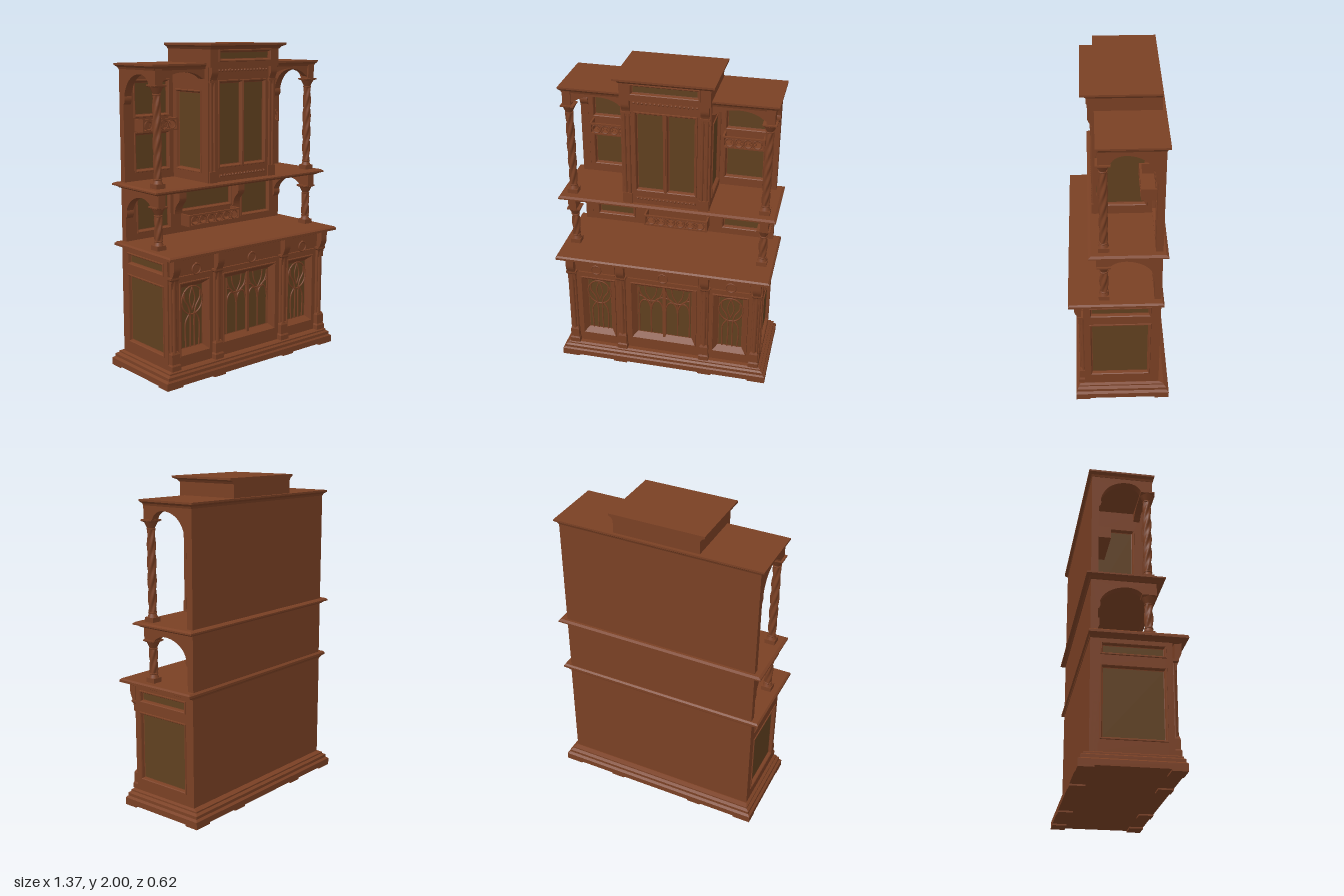
import * as THREE from 'three';

const wood = new THREE.MeshStandardMaterial({ color: 0x7a4024 });
const inlay = new THREE.MeshStandardMaterial({ color: 0x60401f });

function add(parent, name, geo, x = 0, y = 0, z = 0, mat = wood) {
  const m = new THREE.Mesh(geo, mat);
  m.name = name;
  m.position.set(x, y, z);
  parent.add(m);
  return m;
}

// Box given by its limits
function box(parent, name, x0, x1, y0, y1, z0, z1, mat = wood) {
  return add(parent, name, new THREE.BoxGeometry(x1 - x0, y1 - y0, z1 - z0),
    (x0 + x1) / 2, (y0 + y1) / 2, (z0 + z1) / 2, mat);
}

// Rectangular loops [halfX, zFront, zBack, y] joined into a moulded slab
function loft(sections, capped = true) {
  const pos = [];
  const loops = sections.map(([h, f, b, y]) => [[-h, y, f], [h, y, f], [h, y, b], [-h, y, b]]);
  const quad = (a, b, c, d) => pos.push(...a, ...b, ...c, ...a, ...c, ...d);
  for (let k = 0; k < loops.length - 1; k++)
    for (let i = 0; i < 4; i++) {
      const j = (i + 1) % 4;
      quad(loops[k][i], loops[k][j], loops[k + 1][j], loops[k + 1][i]);
    }
  if (capped) {
    quad(...loops[loops.length - 1]);
    quad(...loops[0].slice().reverse());
  }
  const g = new THREE.BufferGeometry();
  g.setAttribute('position', new THREE.Float32BufferAttribute(pos, 3));
  g.computeVertexNormals();
  return g;
}

const rectPoints = ([cx, cy, w, h]) => [[-1, -1], [1, -1], [1, 1], [-1, 1]]
  .map(([a, b]) => new THREE.Vector2(cx + a * w / 2, cy + b * h / 2));

// Board facing +z with moulded, sunken panels; rectangles are [cx, cy, w, h]
function panelled(parent, name, rect, z, holes, depth = 0.02, bevel = 0.014) {
  const g = new THREE.Group();
  g.name = name;
  parent.add(g);
  const shape = new THREE.Shape(rectPoints(rect));
  shape.holes = holes.map(h => new THREE.Path(rectPoints(h).reverse()));
  add(g, 'frame', new THREE.ExtrudeGeometry(shape, { depth, bevelEnabled: false }), 0, 0, z - depth);
  for (const [cx, cy, w, h] of holes) {
    const ring = (o, y) => [w / 2 + o, h / 2 + o, -h / 2 - o, y];
    add(g, 'panelMoulding', loft([ring(0.009, 0), ring(0.007, 0.006), ring(0.001, 0.006), ring(-0.003, 0.001),
      ring(-bevel + 0.004, 0.004 - depth), ring(-bevel, 0.003 - depth)], false).rotateX(Math.PI / 2), cx, cy, z);
    box(g, 'panel', cx - w / 2, cx + w / 2, cy - h / 2, cy + h / 2, z - depth - 0.004, z - depth + 0.003, inlay);
  }
  return g;
}

// Shape drawn in (z, y), given a thickness along x
function sideProfile(parent, name, shape, x, w) {
  const g = new THREE.ExtrudeGeometry(shape, { depth: w, bevelEnabled: false, curveSegments: 16 });
  return add(parent, name, g.rotateY(-Math.PI / 2), x + w / 2);
}

// Scrolled bracket projecting forwards
function bracket(parent, x, w, y0, y1, z0, z1) {
  const s = new THREE.Shape();
  const h = y1 - y0, d = z1 - z0;
  s.moveTo(z0, y0);
  s.lineTo(z0 + d * 0.25, y0);
  s.bezierCurveTo(z0 + d * 0.3, y0 + h * 0.5, z0 + d, y0 + h * 0.45, z1, y0 + h * 0.75);
  s.lineTo(z1, y1);
  s.lineTo(z0, y1);
  sideProfile(parent, 'bracket', s, x, w);
}

function tube(parent, pts, r = 0.005) {
  const c = new THREE.CatmullRomCurve3(pts.map(p => new THREE.Vector3(...p)));
  add(parent, 'traceryRib', new THREE.TubeGeometry(c, pts.length > 2 ? 24 : 1, r, 6));
}

function arc(parent, cx, cy, z, rx, ry, a0, a1) {
  const pts = [];
  for (let i = 0; i <= 16; i++) {
    const a = (a0 + (a1 - a0) * i / 16) * Math.PI;
    pts.push([cx + rx * Math.cos(a), cy + ry * Math.sin(a), z]);
  }
  tube(parent, pts);
}

// Free-standing column with a spirally carved shaft
function column(parent, x, z, y0, y1) {
  const g = new THREE.Group();
  g.name = 'twistedColumn';
  g.position.set(x, 0, z);
  parent.add(g);
  const h = y1 - y0 - 0.1;
  const shaft = new THREE.CylinderGeometry(1, 1, h, 24, 40, true);
  const p = shaft.attributes.position;
  for (let i = 0; i < p.count; i++) {
    const y = p.getY(i), a = Math.atan2(p.getZ(i), p.getX(i));
    const r = 0.0215 + 0.0035 * Math.cos(4 * a + y * 60) + 0.003 * Math.cos(y / h * Math.PI);
    p.setXYZ(i, Math.cos(a) * r, y, Math.sin(a) * r);
  }
  shaft.computeVertexNormals();
  add(g, 'shaft', shaft, 0, y0 + 0.05 + h / 2);
  box(g, 'columnFoot', -0.032, 0.032, y0, y0 + 0.03, -0.032, 0.032);
  add(g, 'footMoulding', new THREE.CylinderGeometry(0.022, 0.031, 0.022, 16), 0, y0 + 0.04);
  for (const y of [y0 + 0.055, y1 - 0.055])
    add(g, 'collar', new THREE.TorusGeometry(0.022, 0.005, 6, 20).rotateX(Math.PI / 2), 0, y);
  add(g, 'capital', new THREE.CylinderGeometry(0.042, 0.022, 0.04, 8), 0, y1 - 0.03);
  add(g, 'abacus', loft([[0.032, 0.032, -0.032, y1 - 0.014], [0.042, 0.042, -0.042, y1 - 0.008], [0.042, 0.042, -0.042, y1]]));
}

// Small shelf with a pierced front gallery
function gallery(parent, cx, y, w, h, n) {
  const g = new THREE.Group();
  g.name = 'galleryShelf';
  g.position.set(cx, y, 0);
  parent.add(g);
  const e = w / 2, step = (w - 0.02) / n, zf = -0.12;
  for (const yy of [0, h - 0.01]) box(g, 'rail', -e, e, yy, yy + 0.01, zf - 0.01, zf + 0.004);
  box(g, 'shelfBoard', -e, e, 0, 0.008, -0.21, zf);
  for (const s of [-1, 1]) box(g, 'shelfEnd', s * e - 0.006, s * e + 0.006, 0, h, -0.21, zf + 0.004);
  for (let i = 0; i < n; i++) {
    const x = -e + 0.01 + step * (i + 0.5);
    add(g, 'ring', new THREE.TorusGeometry(h * 0.36, 0.005, 6, 20), x, h / 2, zf - 0.003);
    if (i) add(g, 'diamond', new THREE.TorusGeometry(h * 0.3, 0.004, 4, 4), x - step / 2, h / 2, zf - 0.003);
  }
}

function buildBase(root) {
  const g = new THREE.Group();
  g.name = 'lowerCabinet';
  root.add(g);
  for (const [a, b] of [[-0.685, -0.57], [-0.33, -0.24], [0.24, 0.33], [0.57, 0.685]])
    for (const [c, d] of [[-0.31, -0.22], [0.19, 0.28]]) box(g, 'foot', a, b, 0, 0.012, c, d);
  add(g, 'plinth', loft([[0.685, 0.28, -0.31, 0.01], [0.685, 0.28, -0.31, 0.045], [0.67, 0.272, -0.295, 0.055],
    [0.67, 0.272, -0.295, 0.073], [0.652, 0.262, -0.278, 0.083], [0.652, 0.262, -0.278, 0.092], [0.637, 0.25, -0.25, 0.1]]));
  box(g, 'carcass', -0.605, 0.605, 0.1, 0.775, -0.245, 0.185);
  box(g, 'backBoard', -0.632, 0.632, 0.1, 0.775, -0.245, -0.2);
  panelled(g, 'cabinetFront', [0, 0.437, 1.27, 0.675], 0.222,
    [[-0.435, 0.39, 0.215, 0.44], [0, 0.4, 0.42, 0.43], [0.435, 0.39, 0.215, 0.44]], 0.034, 0.033);
  for (const s of [-1, 1]) {
    const side = panelled(g, 'cabinetSide', [0, 0.437, 0.444, 0.675], 0.635,
      [[0, 0.39, 0.36, 0.42], [0, 0.705, 0.36, 0.06]], 0.02, 0.01);
    side.rotation.y = s * Math.PI / 2;
    box(g, 'rearStile', s * 0.62 - 0.015, s * 0.62 + 0.015, 0.1, 0.775, -0.245, -0.2);
  }
  // Drawers with ring pulls
  for (const [x, w] of [[-0.437, 0.24], [0, 0.46], [0.437, 0.24]]) {
    box(g, 'drawerFront', x - w / 2, x + w / 2, 0.668, 0.768, 0.21, 0.235);
    box(g, 'drawerBead', x - w / 2, x + w / 2, 0.652, 0.66, 0.21, 0.234);
    add(g, 'ringPull', new THREE.TorusGeometry(0.031, 0.005, 8, 28), x, 0.693, 0.242);
    add(g, 'pullStud', new THREE.SphereGeometry(0.008, 10, 8), x, 0.724, 0.24);
  }
  // Clustered pilasters
  for (const x of [-0.602, -0.273, 0.273, 0.602]) {
    add(g, 'pilasterFoot', loft([[0.033, 0.26, 0.2, 0.1], [0.033, 0.26, 0.2, 0.13], [0.028, 0.254, 0.2, 0.14],
      [0.028, 0.254, 0.2, 0.2], [0.022, 0.248, 0.2, 0.215]]), x);
    for (const [dx, dz, r] of [[-0.015, 0, 0.011], [0.015, 0, 0.011], [0, 0.009, 0.013]])
      add(g, 'pilasterShaft', new THREE.CylinderGeometry(r, r, 0.45, 12), x + dx, 0.43, 0.229 + dz);
    add(g, 'pilasterCapital', loft([[0.024, 0.25, 0.2, 0.645], [0.033, 0.257, 0.2, 0.655], [0.033, 0.257, 0.2, 0.668]]), x);
    bracket(g, x, 0.05, 0.6, 0.772, 0.235, 0.277);
  }
  // Door tracery
  const z = 0.195;
  for (const s of [-1, 1]) {
    const x = s * 0.435;
    arc(g, x, 0.49, z, 0.078, 0.088, 0, 2);
    for (const t of [-1, 1]) {
      tube(g, [[x + t * 0.016, 0.2, z], [x + t * 0.016, 0.4, z], [x + t * 0.028, 0.45, z], [x + t * 0.058, 0.5, z], [x + t * 0.06, 0.55, z]]);
      tube(g, [[x + t * 0.05, 0.2, z], [x + t * 0.05, 0.36, z], [x + t * 0.025, 0.405, z]]);
      tube(g, [[x, 0.43, z], [x + t * 0.02, 0.5, z], [x, 0.575, z]], 0.004);
    }
    const c = s * 0.088;
    arc(g, c, 0.575, z, 0.077, 0.1, 1, 2);
    tube(g, [[c, 0.22, z], [c, 0.475, z]]);
    for (const t of [-1, 1]) {
      arc(g, c + t * 0.04, 0.41, z, 0.038, 0.07, 0, 1);
      arc(g, c + t * 0.08, 0.39, z, 0.08, 0.12, t > 0 ? 0.5 : 0, t > 0 ? 1 : 0.5);
      tube(g, [[c + t * 0.08, 0.22, z], [c + t * 0.08, 0.58, z]]);
      tube(g, [[c, 0.475, z], [c + t * 0.03, 0.53, z], [c + t * 0.04, 0.585, z]], 0.004);
    }
  }
  box(g, 'doorMullion', -0.009, 0.009, 0.2, 0.6, 0.185, 0.206);
  add(g, 'counter', loft([[0.64, 0.26, -0.248, 0.765], [0.655, 0.282, -0.25, 0.774], [0.68, 0.31, -0.26, 0.782],
    [0.68, 0.31, -0.26, 0.796], [0.67, 0.3, -0.25, 0.805]]));
}

// Arched open side: rear stile, arch and front block
function archedSide(parent, s, y0, y1, spring, apex, head, front) {
  const a = new THREE.Shape();
  a.moveTo(-0.245, y0);
  a.lineTo(-0.203, y0);
  a.lineTo(-0.203, spring - 0.05);
  a.quadraticCurveTo(-0.18, spring - 0.03, -0.192, spring);
  a.bezierCurveTo(-0.17, apex - 0.03, -0.09, apex, -0.03, apex);
  a.bezierCurveTo(0.01, apex, 0.05, apex - 0.02, 0.058, head);
  a.lineTo(front, head);
  a.lineTo(front, y1);
  a.lineTo(-0.245, y1);
  sideProfile(parent, 'sideArch', a, s * 0.607, 0.05);
}

function buildUpper(root) {
  const g = new THREE.Group();
  g.name = 'upperStage';
  root.add(g);
  box(g, 'backBoard', -0.63, 0.63, 0.8, 1.865, -0.245, -0.222);
  panelled(g, 'lowerBackPanelling', [0, 0.975, 1.25, 0.345], -0.205,
    [[-0.42, 0.975, 0.245, 0.245], [0, 1.015, 0.405, 0.145], [0.42, 0.975, 0.245, 0.245]], 0.018, 0.012);
  const upper = [-1, 1].flatMap(s => [[s * 0.425, 1.67, 0.25, 0.21], [s * 0.425, 1.345, 0.25, 0.23]]);
  panelled(g, 'upperBackPanelling', [0, 1.515, 1.25, 0.69], -0.205, upper, 0.018, 0.012);
  gallery(g, 0, 0.85, 0.41, 0.075, 6);
  for (const s of [-1, 1]) {
    gallery(g, s * 0.423, 1.475, 0.25, 0.075, 4);
    bracket(g, s * 0.242, 0.055, 0.93, 1.08, -0.21, -0.14);
    column(g, s * 0.603, 0.095, 0.803, 1.065);
    column(g, s * 0.603, 0.095, 1.17, 1.77);
    archedSide(g, s, 0.803, 1.145, 1.0, 1.1, 1.06, 0.14);
    archedSide(g, s, 1.17, 1.86, 1.69, 1.825, 1.765, 0.125);
    // Shallow arch across the open front bay
    const a = new THREE.Shape();
    a.moveTo(s * 0.26, 1.86);
    a.lineTo(s * 0.26, 1.79);
    a.lineTo(s * 0.285, 1.795);
    a.bezierCurveTo(s * 0.34, 1.85, s * 0.5, 1.85, s * 0.56, 1.795);
    a.lineTo(s * 0.585, 1.78);
    a.lineTo(s * 0.585, 1.86);
    add(g, 'frontArch', new THREE.ExtrudeGeometry(a, { depth: 0.04, bevelEnabled: false }), 0, 0, 0.075);
  }
  add(g, 'middleShelf', loft([[0.645, 0.15, -0.248, 1.138], [0.66, 0.165, -0.255, 1.148], [0.68, 0.185, -0.275, 1.154],
    [0.68, 0.185, -0.275, 1.163], [0.665, 0.17, -0.26, 1.172]]));
  add(g, 'sideCornice', loft([[0.635, 0.122, -0.245, 1.85], [0.64, 0.126, -0.25, 1.862], [0.656, 0.136, -0.266, 1.874], [0.656, 0.136, -0.266, 1.885]]));
}

function buildCentre(root) {
  const g = new THREE.Group();
  g.name = 'centreCabinet';
  root.add(g);
  box(g, 'core', -0.248, 0.248, 1.17, 1.86, -0.22, 0.128);
  panelled(g, 'doors', [0, 1.515, 0.54, 0.69], 0.148, [[-0.095, 1.52, 0.175, 0.51], [0.095, 1.52, 0.175, 0.51]], 0.018, 0.012);
  for (const s of [-1, 1]) {
    const side = panelled(g, 'cabinetSide', [s * 0.036, 1.515, 0.33, 0.69], 0.268, [[s * 0.045, 1.475, 0.24, 0.48]], 0.018, 0.012);
    side.rotation.y = s * Math.PI / 2;
    // Slender corner pilasters
    box(g, 'pilasterFoot', s * 0.235 - 0.03, s * 0.235 + 0.03, 1.17, 1.24, 0.13, 0.16);
    for (const dx of [-0.014, 0.014])
      add(g, 'pilasterShaft', new THREE.CylinderGeometry(0.01, 0.01, 0.54, 10), s * 0.235 + dx, 1.51, 0.148);
    box(g, 'pilasterCapital', s * 0.235 - 0.03, s * 0.235 + 0.03, 1.77, 1.783, 0.13, 0.162);
    bracket(g, s * 0.235, 0.05, 1.75, 1.865, 0.145, 0.174);
  }
  for (const [w, y] of [[0.185, 1.21], [0.2, 1.84]]) {
    box(g, 'carvedStrip', -w, w, y - 0.009, y + 0.009, 0.14, 0.154);
    for (let i = 0; i < 16; i++)
      add(g, 'stripBead', new THREE.SphereGeometry(0.008, 8, 6), -w + (i + 0.5) * w / 8, y, 0.153);
  }
  box(g, 'frieze', -0.266, 0.266, 1.86, 1.975, -0.245, 0.152);
  panelled(g, 'friezeFront', [0, 1.917, 0.54, 0.115], 0.174, [[0, 1.928, 0.4, 0.055]], 0.018, 0.01);
  for (const s of [-1, 1]) box(g, 'friezeSide', s * 0.267 - 0.003, s * 0.267 + 0.003, 1.86, 1.975, -0.245, 0.174);
  add(g, 'topCornice', loft([[0.272, 0.178, -0.245, 1.965], [0.28, 0.19, -0.245, 1.978], [0.298, 0.214, -0.245, 1.988], [0.298, 0.214, -0.245, 2]]));
}

export function createModel() {
  const root = new THREE.Group();
  root.name = 'sideboard';
  buildBase(root);
  buildUpper(root);
  buildCentre(root);
  return root;
}
